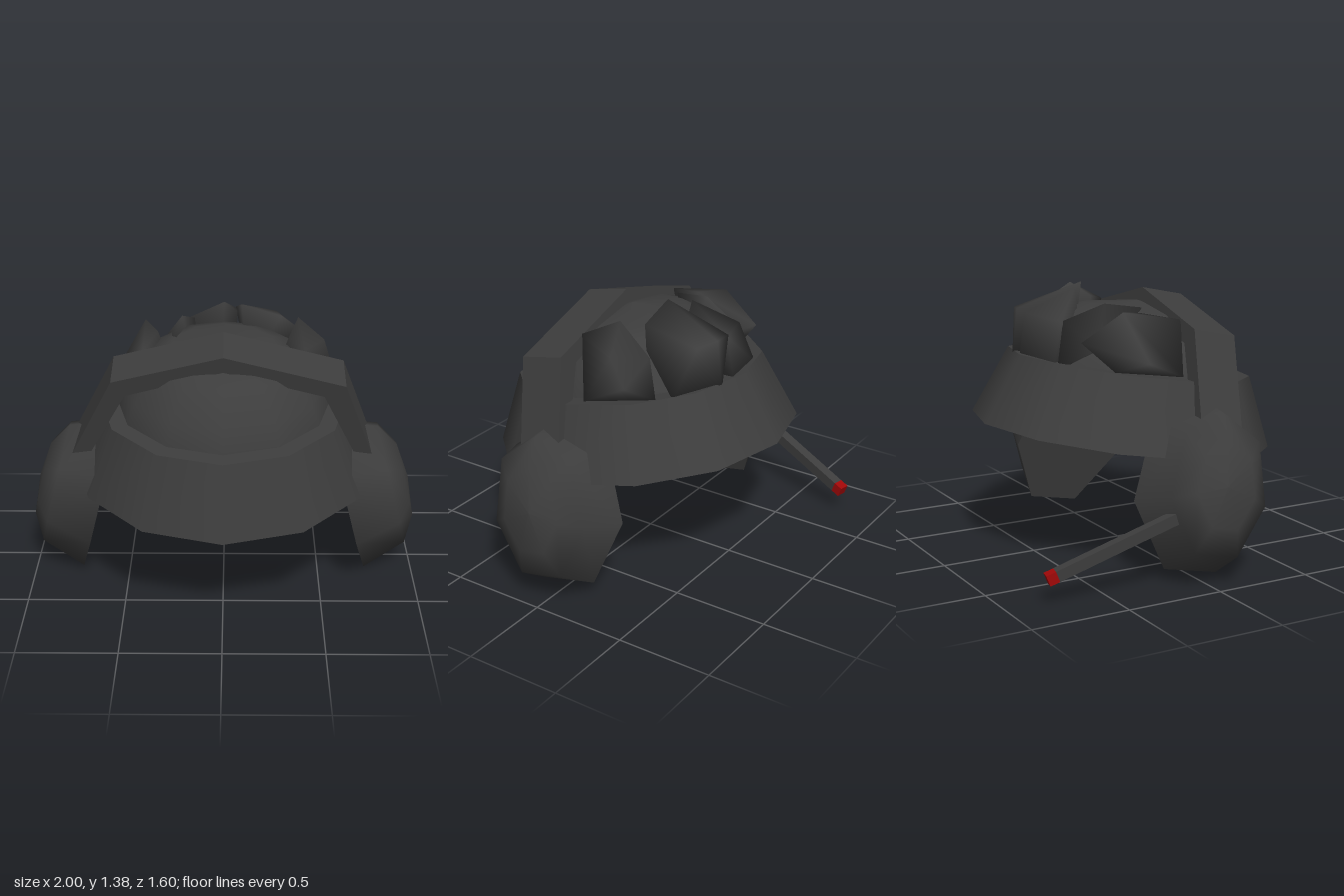
import * as THREE from 'three';
import { mergeVertices } from 'three/addons/utils/BufferGeometryUtils.js';
import { ConvexGeometry } from 'three/addons/geometries/ConvexGeometry.js';

const charcoal = new THREE.MeshStandardMaterial({ color: 0x3d3d3d });
const red = new THREE.MeshStandardMaterial({ color: 0xa00808 });

function part(name, geometry, material, parent) {
  const mesh = new THREE.Mesh(geometry, material);
  mesh.name = name;
  parent.add(mesh);
  return mesh;
}

// Ear cup: seven-sided outline (z, y), swelling outward in shrinking rings
function cupGeometry(side) {
  const outline = [[0.155, 0.85], [-0.115, 0.76], [-0.275, 0.4], [-0.155, 0.06],
    [0.135, 0.0], [0.38, 0.265], [0.395, 0.65]];
  const rings = [[0, 0], [1, 0], [1, 0], [0.8, 0.24], [0.48, 0.315], [0, 0.335]];
  const n = outline.length, cz = 0.055, cy = 0.42;
  const pos = [], index = [];
  for (const [s, d] of rings) {
    for (const [oz, oy] of outline) {
      const y = cy + (oy - cy) * s;
      pos.push(side * (0.75 - 0.25 * y + 0.97 * d), y + 0.24 * d, cz + (oz - cz) * s);
    }
  }
  for (let r = 0; r < rings.length - 1; r++) {
    if (r === 1) continue; // split between flat inner face and shell
    for (let i = 0; i < n; i++) {
      const a = r * n + i, b = r * n + (i + 1) % n, c = a + n, d = b + n;
      const quad = [a, b, c, b, d, c];
      index.push(...(side > 0 ? quad.reverse() : quad));
    }
  }
  const g = new THREE.BufferGeometry();
  g.setAttribute('position', new THREE.Float32BufferAttribute(pos, 3));
  g.setIndex(index);
  // Make sure the shell faces outward
  const p = new THREE.Vector3(), q = new THREE.Vector3(), t = new THREE.Vector3();
  const at = (v, k) => v.fromBufferAttribute(g.attributes.position, index[k]);
  let volume = 0;
  for (let k = 0; k < index.length; k += 3) {
    volume += at(p, k).dot(at(q, k + 1).cross(at(t, k + 2)));
  }
  if (volume < 0) g.setIndex(index.reverse());
  g.computeVertexNormals();
  return g;
}

// Angular tuft: hull over a few surface points and one root inside the dome
function tuftGeometry(points) {
  const vs = points.map((p) => new THREE.Vector3(...p));
  const root = vs.reduce((s, v) => s.add(v), new THREE.Vector3()).divideScalar(vs.length + 1);
  vs.push(root.lerp(new THREE.Vector3(0, 0.95, 0), 0.4));
  const g = new ConvexGeometry(vs);
  g.deleteAttribute('normal');
  const merged = mergeVertices(g, 1e-4);
  merged.computeVertexNormals();
  return merged;
}

export function createModel() {
  const model = new THREE.Group();
  model.name = 'headgear';

  // Tilted cap: twelve-sided brim band with a low dome
  const cap = new THREE.Group();
  cap.name = 'cap';
  cap.position.set(0, 0.772, 0.042);
  cap.rotation.x = 0.142;
  model.add(cap);
  part('brimBand', new THREE.CylinderGeometry(0.638, 0.787, 0.36, 12), charcoal, cap);
  const profile = [[0.555, 0.17], [0.51, 0.285], [0.38, 0.425], [0.28, 0.462], [0.001, 0.505]];
  part('dome', new THREE.LatheGeometry(profile.map((p) => new THREE.Vector2(...p)), 12), charcoal, cap);

  // Tufts around the back of the dome
  const tufts = [
    [[-0.37, 1.14, -0.41], [-0.41, 1.28, -0.2], [-0.475, 1.0, -0.28], [-0.555, 1.04, -0.13],
      [-0.6, 0.97, 0.03], [-0.41, 1.22, 0.13], [-0.34, 1.26, -0.07]],
    [[-0.25, 1.0, -0.48], [-0.35, 1.1, -0.3], [-0.25, 1.27, 0], [-0.22, 1.3, -0.2], [-0.16, 1.22, -0.4]],
    [[-0.23, 1.0, -0.49], [-0.18, 1.22, -0.42], [0, 1.36, -0.25], [0.07, 1.3, -0.27],
      [0.07, 1.24, -0.5], [0.06, 1.0, -0.54]],
    [[0.06, 1.25, -0.5], [0.09, 1.375, -0.165], [0.3, 1.31, -0.17], [0.39, 1.22, -0.24],
      [0.4, 1.0, -0.4], [0.28, 1.24, -0.46], [0.16, 1.0, -0.53], [0.16, 1.25, -0.5]],
    [[0.42, 1.2, -0.28], [0.46, 1.01, -0.34], [0.54, 1.06, -0.21], [0.595, 0.97, -0.01], [0.52, 1.2, -0.12],
      [0.41, 1.23, 0.13], [0.33, 1.26, 0.02], [0.38, 1.335, -0.08]],
  ];
  tufts.forEach((pts, i) => part('tuft' + (i + 1), tuftGeometry(pts), charcoal, model));

  // Angular headband, slightly wider at its left shoulder
  const outer = [[0.755, -0.58], [0.605, -0.165], [0, 0], [-0.555, -0.145], [-0.77, -0.58]];
  const inner = [[-0.68, -0.58], [-0.49, -0.225], [0, -0.085], [0.5, -0.225], [0.67, -0.58]];
  const band = part('headband', new THREE.ExtrudeGeometry(
    new THREE.Shape([...outer, ...inner].map((p) => new THREE.Vector2(...p))),
    { depth: 0.24, bevelEnabled: false }).translate(0, 0, -0.24), charcoal, model);
  band.position.set(0, 1.285, 0.385);
  band.rotation.x = 0.21;

  // Ear cups
  part('leftEarCup', cupGeometry(1), charcoal, model);
  part('rightEarCup', cupGeometry(-1), charcoal, model);

  // Boom with a red tip
  const start = new THREE.Vector3(-0.88, 0.385, -0.1), end = new THREE.Vector3(-0.735, 0.115, -0.79);
  const length = start.distanceTo(end), tip = 0.05;
  const boom = new THREE.Group();
  boom.name = 'boom';
  boom.position.copy(start);
  boom.lookAt(end);
  model.add(boom);
  part('boomArm', new THREE.BoxGeometry(0.055, 0.055, length - tip).translate(0, 0, (length - tip) / 2), charcoal, boom);
  part('boomTip', new THREE.BoxGeometry(0.055, 0.055, tip).translate(0, 0, length - tip / 2), red, boom);

  return model;
}
